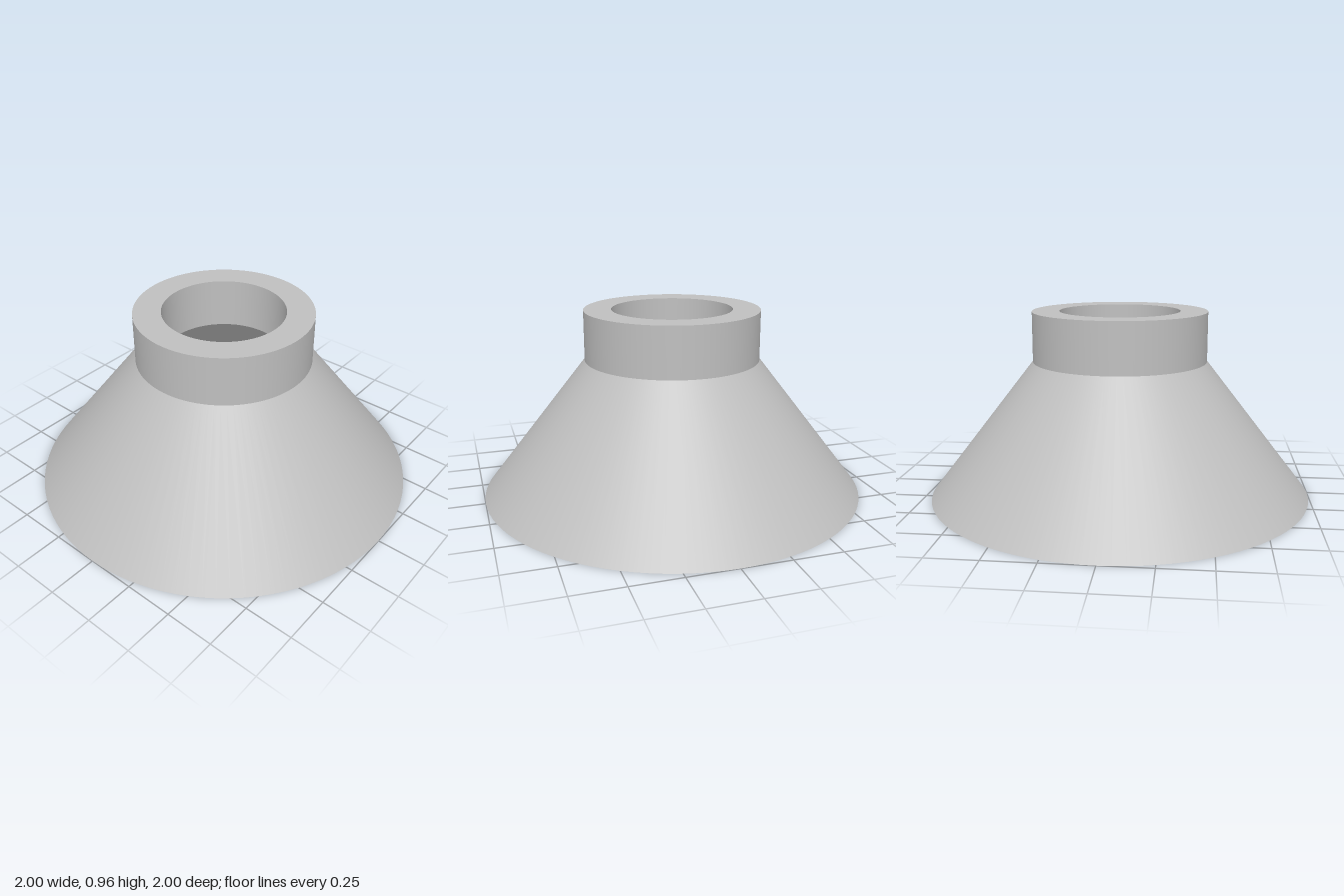
import * as THREE from 'three';

const SEGMENTS = 96;

// Surface of revolution whose profile corners stay sharp: each edge is its own band.
function revolvedBand(name, from, to, material) {
  const points = [new THREE.Vector2(...from), new THREE.Vector2(...to)];
  const mesh = new THREE.Mesh(new THREE.LatheGeometry(points, SEGMENTS), material);
  mesh.name = name;
  return mesh;
}

export function createModel() {
  const grey = new THREE.MeshStandardMaterial({ color: 0xbfbfbf });
  grey.name = 'plain grey';

  const baseRadius = 1, baseInner = 0.9;
  const collarRadius = 0.455, boreRadius = 0.313;
  const coneHeight = 0.7, height = 0.96;

  // Closed wall profile [radius, height], running up the outside and down the inside
  const bands = [
    ['coneOutside', [baseRadius, 0], [collarRadius, coneHeight]],
    ['collarOutside', [collarRadius, coneHeight], [collarRadius, height]],
    ['collarTop', [collarRadius, height], [boreRadius, height]],
    ['collarBore', [boreRadius, height], [boreRadius, coneHeight]],
    ['coneInside', [boreRadius, coneHeight], [baseInner, 0]],
    ['baseRim', [baseInner, 0], [baseRadius, 0]],
  ];

  const group = new THREE.Group();
  group.name = 'collaredCone';
  for (const [name, from, to] of bands) group.add(revolvedBand(name, from, to, grey));
  return group;
}
